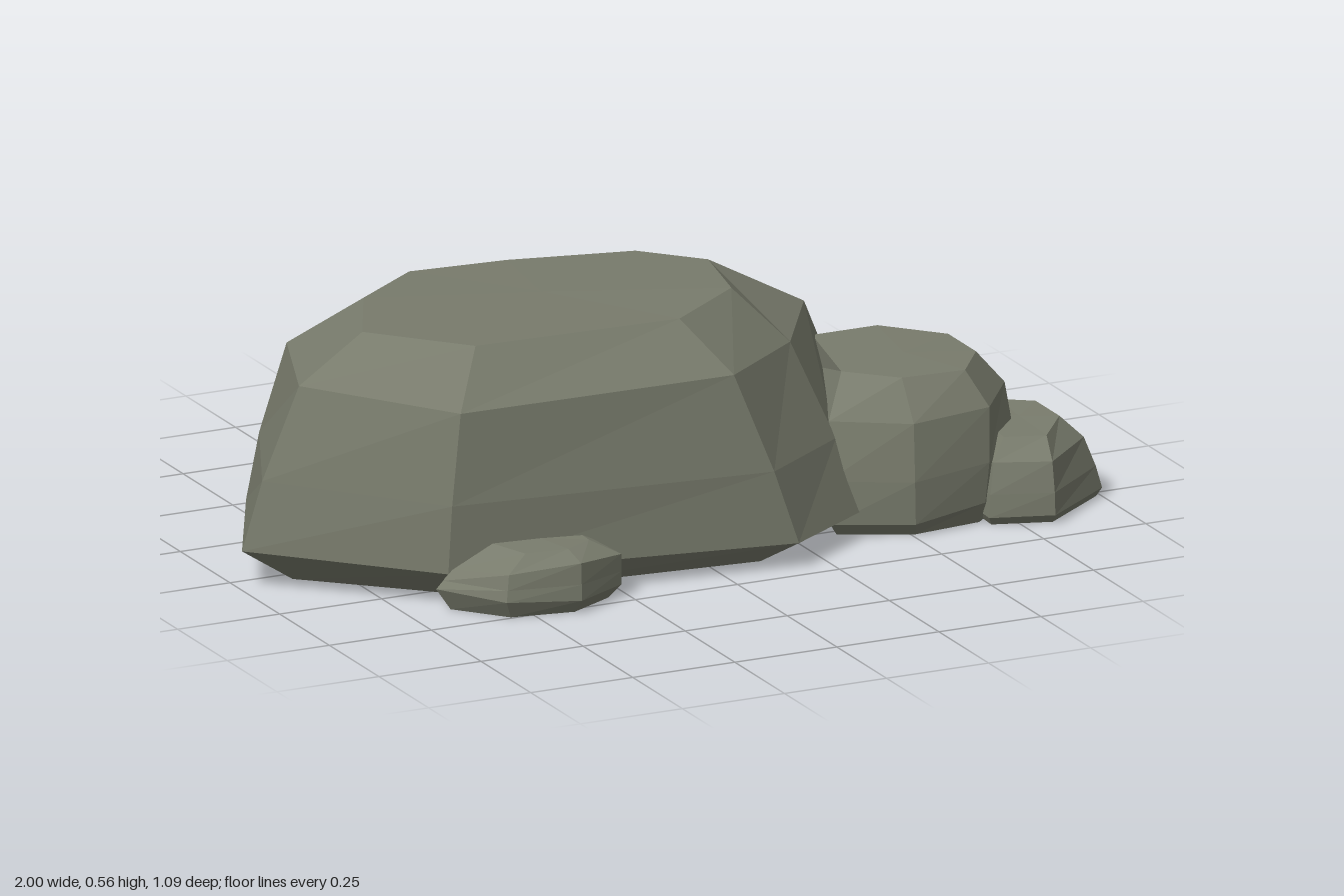
import * as THREE from 'three';

const stone = new THREE.MeshStandardMaterial({ color: 0x787b6c, flatShading: true });
stone.name = 'mossy grey stone';

const mean = (ring) =>
  ring.reduce((sum, p) => sum.add(p), new THREE.Vector3()).divideScalar(ring.length);

// Each column of a rock gives its foot, shoulder and crown point as x, y, z.
// baseScale undercuts the foot down to the ground; bulge swells the flank.
function rock(name, columns, baseScale, bulge) {
  const ringAt = (k) => columns.map((c) => new THREE.Vector3(...c.slice(k * 3, k * 3 + 3)));
  const [foot, shoulder, crown] = [0, 1, 2].map(ringAt);
  const scaled = (ring, s) => {
    const m = mean(ring);
    return ring.map((p) => new THREE.Vector3(m.x + (p.x - m.x) * s, p.y, m.z + (p.z - m.z) * s));
  };
  const base = scaled(foot, baseScale);
  base.forEach((p) => { p.y = 0; });
  const flank = scaled(foot.map((p, i) => p.clone().lerp(shoulder[i], 0.43)), bulge);
  const rings = [base, foot, flank, shoulder, crown];

  const pos = [];
  const tri = (...pts) => pts.forEach((p) => pos.push(p.x, p.y, p.z));
  const n = columns.length;
  const bottom = mean(base);
  const top = mean(crown);
  for (let i = 0; i < n; i++) {
    const j = (i + 1) % n;
    for (let r = 0; r < rings.length - 1; r++) {
      const lo = rings[r], hi = rings[r + 1];
      tri(lo[i], lo[j], hi[j]);
      tri(lo[i], hi[j], hi[i]);
    }
    tri(base[j], base[i], bottom);
    tri(crown[i], crown[j], top);
  }
  const geo = new THREE.BufferGeometry();
  geo.setAttribute('position', new THREE.Float32BufferAttribute(pos, 3));
  geo.computeVertexNormals();
  const mesh = new THREE.Mesh(geo, stone);
  mesh.name = name;
  return mesh;
}

export function createModel() {
  const group = new THREE.Group();
  group.name = 'rockCluster';

  // Large flat-topped boulder
  group.add(rock('mainBoulder', [
    [-1, 0.09, 0.06, -0.87, 0.46, 0.08, -0.71, 0.56, 0.07],
    [-0.65, 0.08, 0.38, -0.61, 0.44, 0.36, -0.53, 0.56, 0.27],
    [0.17, 0.06, 0.46, 0.04, 0.45, 0.4, -0.04, 0.56, 0.29],
    [0.4, 0.06, 0.31, 0.27, 0.44, 0.21, 0.16, 0.56, 0.14],
    [0.62, 0.05, -0.2, 0.44, 0.43, -0.07, 0.21, 0.555, -0.08],
    [0.44, 0.05, -0.43, 0.27, 0.42, -0.33, 0.1, 0.55, -0.22],
    [-0.06, 0.03, -0.55, -0.1, 0.4, -0.41, -0.19, 0.555, -0.27],
    [-0.47, 0.05, -0.55, -0.47, 0.42, -0.41, -0.42, 0.555, -0.29],
    [-0.8, 0.07, -0.33, -0.73, 0.44, -0.27, -0.6, 0.56, -0.15],
  ], 0.84, 1.015));

  // Medium rock leaning on the boulder
  group.add(rock('mediumRock', [
    [0.33, 0.03, 0.29, 0.34, 0.26, 0.26, 0.4, 0.35, 0.2],
    [0.5, 0.03, 0.37, 0.5, 0.26, 0.36, 0.5, 0.35, 0.3],
    [0.68, 0.05, 0.35, 0.69, 0.27, 0.35, 0.65, 0.35, 0.31],
    [0.82, 0.05, 0.22, 0.8, 0.27, 0.2, 0.73, 0.35, 0.2],
    [0.85, 0.05, -0.1, 0.8, 0.28, -0.03, 0.73, 0.35, 0.06],
    [0.66, 0.04, -0.27, 0.65, 0.26, -0.14, 0.61, 0.355, -0.05],
    [0.5, 0.04, -0.25, 0.47, 0.26, -0.14, 0.45, 0.355, -0.05],
  ], 0.92, 1.03));

  // Small rock at the far left end
  group.add(rock('smallRock', [
    [0.68, 0.02, 0.37, 0.7, 0.14, 0.35, 0.74, 0.185, 0.32],
    [0.82, 0.02, 0.415, 0.82, 0.14, 0.4, 0.83, 0.185, 0.35],
    [1, 0.02, 0.28, 0.96, 0.14, 0.27, 0.91, 0.19, 0.25],
    [0.99, 0.02, 0.08, 0.96, 0.13, 0.1, 0.91, 0.19, 0.13],
    [0.85, 0.02, -0.06, 0.85, 0.13, 0.01, 0.85, 0.185, 0.07],
    [0.7, 0.02, 0, 0.72, 0.13, 0.05, 0.76, 0.185, 0.1],
  ], 0.93, 1.02));

  // Low pebble in front of the boulder
  group.add(rock('frontPebble', [
    [-0.68, 0.05, 0.38, -0.64, 0.09, 0.38, -0.55, 0.14, 0.38],
    [-0.57, 0.04, 0.51, -0.56, 0.1, 0.5, -0.5, 0.13, 0.46],
    [-0.4, 0.03, 0.54, -0.4, 0.115, 0.535, -0.4, 0.13, 0.47],
    [-0.27, 0.03, 0.47, -0.27, 0.1, 0.47, -0.33, 0.13, 0.43],
    [-0.27, 0.03, 0.38, -0.28, 0.1, 0.38, -0.34, 0.14, 0.37],
    [-0.4, 0.03, 0.27, -0.4, 0.1, 0.28, -0.42, 0.15, 0.32],
    [-0.6, 0.04, 0.28, -0.58, 0.1, 0.29, -0.5, 0.15, 0.33],
  ], 0.85, 1));

  return group;
}
